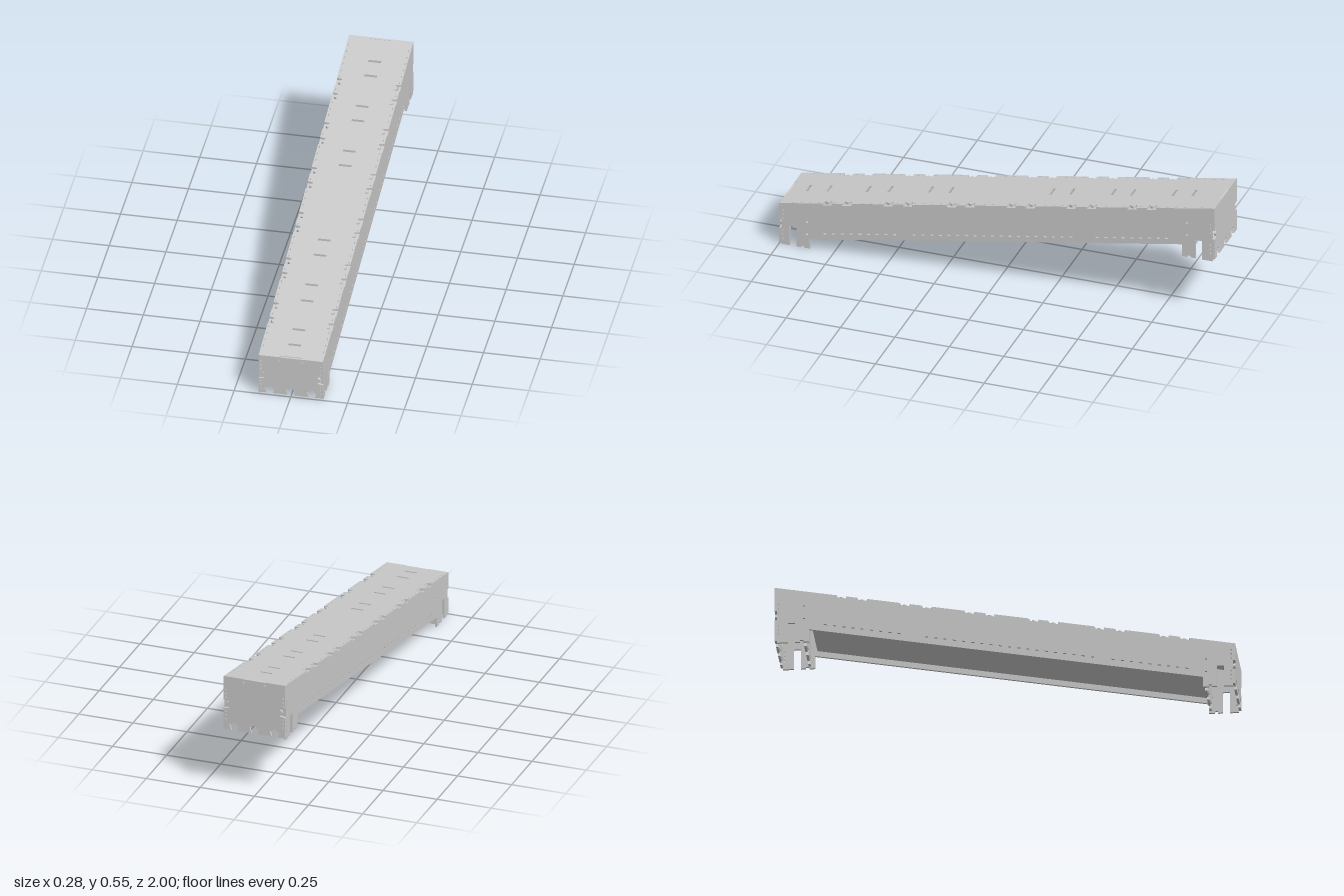
import * as THREE from 'three';

const T = 0.01;            // sheet thickness
const W = 0.142;           // half width
const K = 0.1765;          // slope, rising towards the back
const topY = u => 0.3765 + K * u;   // u = -z
const lowY = u => 0.198 + K * u;

const material = new THREE.MeshStandardMaterial({ color: 0xcccccc, flatShading: true });
const vec = (x, y, z) => new THREE.Vector3(x, y, z);
const mirrored = pts => pts.map(([x, y]) => [-x, y]).reverse();

// Rectangular hole, optionally following the slope
function slot(shape, x, y, hw, hh, k = 0) {
  const pts = [[-hw, -hh], [-hw, hh], [hw, hh], [hw, -hh]];
  shape.holes.push(new THREE.Path(pts.map(([a, b]) => new THREE.Vector2(x + a, y + b + k * a))));
}

function dot(shape, x, y, r) {
  const path = new THREE.Path();
  path.absarc(x, y, r, 0, Math.PI * 2, true);
  shape.holes.push(path);
}

const outline = pts => new THREE.Shape(pts.map(([x, y]) => new THREE.Vector2(x, y)));

// Cut sheet, placed by its two in-plane axes and its thickness axis
function sheet(name, shape, depth, origin, X, Y, Z) {
  const geo = new THREE.ExtrudeGeometry(shape, { depth, bevelEnabled: false, curveSegments: 4 });
  geo.applyMatrix4(new THREE.Matrix4().makeBasis(X, Y, Z).setPosition(origin));
  const mesh = new THREE.Mesh(geo, material);
  mesh.name = name;
  return mesh;
}

// Edge notch with a rounded inner relief, going up the right edge
function clipNotch(c) {
  const pts = [[W, c - 0.021], [0.118, c - 0.017], [0.118, c - 0.011]];
  for (let i = 1; i < 6; i++) {
    const a = -Math.PI / 2 + i * Math.PI / 6;
    pts.push([0.118 + 0.012 * Math.cos(a), c + 0.011 * Math.sin(a)]);
  }
  return [...pts, [0.118, c + 0.011], [0.118, c + 0.017], [W, c + 0.021]];
}

// Dovetail cut-outs along a bottom edge, left to right
function dovetails(y, relief) {
  const pts = [];
  for (const c of [-0.093, 0, 0.093]) {
    pts.push([c - 0.014, y], [c - 0.022, y + 0.026]);
    for (let i = 0; relief && i <= 6; i++) {
      const a = Math.PI - i * Math.PI / 6;
      pts.push([c + 0.011 * Math.cos(a), y + 0.026 + 0.011 * Math.sin(a)]);
    }
    pts.push([c + 0.022, y + 0.026], [c + 0.014, y]);
  }
  return pts;
}

const AX = [vec(1, 0, 0), vec(0, 1, 0), vec(0, 0, 1)];           // upright across
const SIDE = [vec(0, 0, -1), vec(0, 1, 0), vec(1, 0, 0)];        // upright lengthwise
const SLOPE = [vec(1, 0, 0), vec(0, K, -1), vec(0, 1, 0)];       // sloping deck

function topPanel() {
  const notches = [-0.71, -0.62, -0.435, -0.34, -0.155, -0.065, 0.125, 0.21, 0.41, 0.5, 0.69, 0.78]
    .map(z => -z).sort((a, b) => a - b);
  const right = [[W, -1], ...notches.flatMap(clipNotch), [W, 1]];
  const tab = [[0.05, 1], [0.05, 1 - T], [-0.05, 1 - T], [-0.05, 1]];
  const frontTab = [[-0.05, -1], [-0.05, T - 1], [0.05, T - 1], [0.05, -1]];
  const shape = outline([...frontTab, ...right, ...tab, ...mirrored(right)]);
  for (const z of [-0.855, -0.765, -0.575, -0.485, -0.295, -0.205, 0.26, 0.355, 0.54, 0.64, 0.82, 0.915])
    slot(shape, 0, -z, 0.028, 0.006);
  // Small edge holes between the notches
  for (let u = -0.94; u < 0.96; u += 0.04)
    if (notches.every(n => Math.abs(n - u) > 0.03))
      for (const s of [-1, 1]) slot(shape, s * 0.133, u, 0.002, 0.005);
  return sheet('topPanel', shape, T, vec(0, topY(0) - T, 0), ...SLOPE);
}

function sidePanel(name, x) {
  const e = 1 - T;
  const shape = outline([
    // front foot with its slot
    [-e, 0], [-0.952, 0], [-0.952, 0.097], [-0.92, 0.097], [-0.92, 0], [-0.9, 0], [-0.9, 0.008],
    [-0.885, 0.008], [-0.885, 0], [-0.86, 0], [-0.86, lowY(-0.86)],
    // back foot with its slot
    [0.85, lowY(0.85)], [0.85, 0.29], [0.875, 0.29], [0.875, 0.298], [0.89, 0.298], [0.89, 0.29],
    [0.912, 0.29], [0.912, 0.382], [0.942, 0.382], [0.942, 0.29], [e, 0.29],
    [e, topY(e) - T], [-e, topY(-e) - T]]);
  // Rows of floor joint holes
  for (const [a, b] of [[-0.79, -0.47], [-0.38, 0.35], [0.46, 0.78]])
    for (let u = a; u <= b + 0.001; u += 0.04) slot(shape, u, lowY(u) + 0.03, 0.007, 0.004, K);
  // Holes for the bulkheads and the end panels
  for (const [u, ys] of [[-0.873, [0.07, 0.13]], [0.873, [0.4, 0.46]]])
    for (const y of ys) slot(shape, u, y, 0.005, 0.004);
  for (const [u, y0] of [[-0.982, 0.02], [0.982, 0.32]])
    for (const d of [0.01, 0.03, 0.05, 0.11, 0.13, 0.15]) slot(shape, u, y0 + d, 0.002, 0.004);
  return sheet(name, shape, T, vec(x, 0, 0), ...SIDE);
}

function endPanel(name, z, y0, y1, clipY) {
  const right = [[W, y0], ...clipNotch(clipY), [W, y1 - T]];
  const tab = [[0.05, y1 - T], [0.05, y1 - 0.001], [-0.05, y1 - 0.001], [-0.05, y1 - T]];
  const shape = outline([...dovetails(y0, true), ...right, ...tab, ...mirrored(right)]);
  for (const s of [-1, 1]) {
    dot(shape, s * 0.05, y1 - 0.0155, 0.003);
    for (const d of [-0.07, -0.05, -0.032, 0.032, 0.05, 0.07]) slot(shape, s * 0.132, clipY + d, 0.002, 0.003);
  }
  return sheet(name, shape, T, vec(0, 0, z), ...AX);
}

function bulkhead(name, z, y0, y1) {
  const w = W - T;
  return sheet(name, outline([[-w, y0], ...dovetails(y0, false), [w, y0], [w, y1], [-w, y1]]),
    T, vec(0, 0, z), ...AX);
}

export function createModel() {
  const model = new THREE.Group();
  model.name = 'slopedChute';
  const w = W - T;
  const floor = outline([[-w, -0.862], [w, -0.862], [w, 0.84], [-w, 0.84]]);
  model.add(
    topPanel(),
    sidePanel('leftSide', W - T),
    sidePanel('rightSide', -W),
    endPanel('frontPanel', 1 - T, 0.01, 0.2, 0.1),
    endPanel('backPanel', -1, 0.3, 0.553, 0.42),
    bulkhead('frontBulkhead', 0.863, 0.01, 0.17),
    bulkhead('backBulkhead', -0.878, 0.3, 0.48),
    sheet('floorPanel', floor, T, vec(0, lowY(0) + 0.025, 0), ...SLOPE));
  return model;
}
